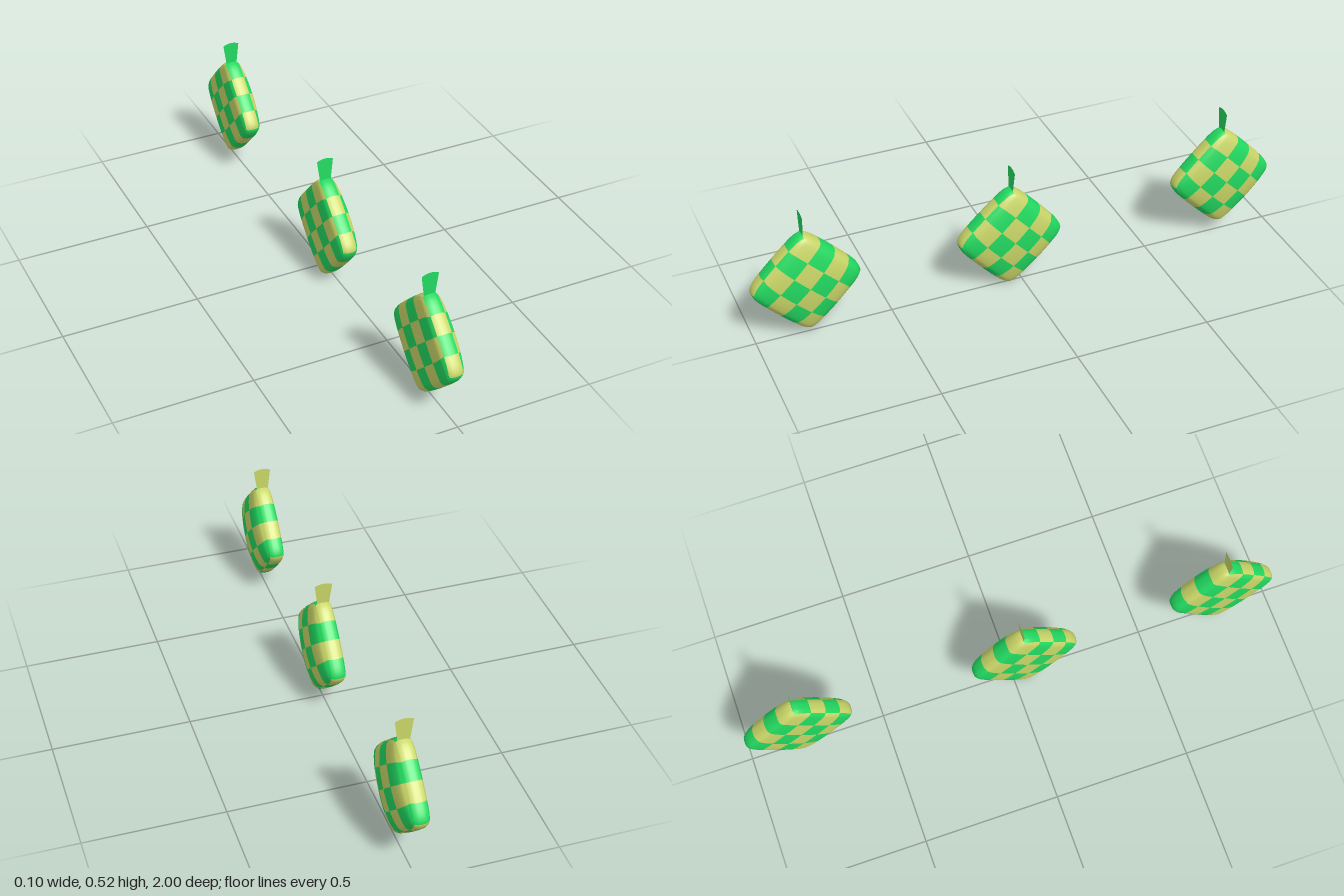
import * as THREE from 'three';

const green = new THREE.MeshStandardMaterial({ color: 0x22d960 });
green.name = 'leafGreen';
const straw = new THREE.MeshStandardMaterial({ color: 0xc9d668 });
straw.name = 'paleStraw';

const HALF = 0.148;            // half side of the woven square
const RIM_L = 0.015, RIM_R = -0.037; // x of the two rim edges

// Smooth grid of cells; point(a, b) takes cell units, isGreen(i, j) picks each cell's colour
function checkerGrid(cellsA, cellsB, seg, segB, point, isGreen) {
  const na = cellsA * seg, nb = cellsB * segB;
  const pos = [], lists = [[], []];
  for (let i = 0; i <= na; i++)
    for (let j = 0; j <= nb; j++) pos.push(...point(i / seg, j / segB));
  for (let i = 0; i < na; i++)
    for (let j = 0; j < nb; j++) {
      const a = i * (nb + 1) + j, d = a + 1, b = a + nb + 1, c = b + 1;
      const list = lists[isGreen(Math.floor(i / seg), Math.floor(j / segB)) ? 0 : 1];
      list.push(a, b, c, a, c, d);
    }
  const g = new THREE.BufferGeometry();
  g.setAttribute('position', new THREE.Float32BufferAttribute(pos, 3));
  g.setIndex([...lists[0], ...lists[1]]);
  g.addGroup(0, lists[0].length, 0);
  g.addGroup(lists[0].length, lists[1].length, 1);
  g.computeVertexNormals();
  return g;
}

// Square coordinates to a rounded diamond standing on its corner
const pull = (t) => 1 - 0.03 * t * t - 0.07 * t ** 8;
function diamond(u, v, scale = 1) {
  const p = HALF * scale * u * pull(v), q = HALF * scale * v * pull(u);
  return [(p + q) * Math.SQRT1_2, (p - q) * Math.SQRT1_2];
}

// Padded woven face, strongly domed on the left and flatter on the right
function faceGeometry(side) {
  return checkerGrid(4, 4, 8, 8, (a, b) => {
    const [u, v] = side > 0 ? [b / 2 - 1, a / 2 - 1] : [a / 2 - 1, b / 2 - 1];
    const dome = Math.max(0, (1 - u * u) * (1 - v * v));
    const x = side > 0 ? RIM_L + 0.037 * Math.sqrt(dome) : RIM_R - 0.015 * dome ** 0.35;
    return [x, ...diamond(u, v)];
  }, (i, j) => (i + j) % 2 === 1);
}

// Band of sixteen alternating cells around the edge
function rimGeometry() {
  const corners = [[1, 1], [1, -1], [-1, -1], [-1, 1]];
  return checkerGrid(16, 1, 6, 6, (a, s) => {
    const k = Math.floor(a / 4) % 4, f = (a % 4) / 4;
    const [p, q] = [corners[k], corners[(k + 1) % 4]];
    const u = p[0] + (q[0] - p[0]) * f, v = p[1] + (q[1] - p[1]) * f;
    const swell = 1 + 0.042 * Math.sqrt(Math.max(0, 4 * s * (1 - s)));
    return [RIM_R + (RIM_L - RIM_R) * s, ...diamond(u, v, swell)];
  }, (i) => i % 2 === 0);
}

// Flared leaf tail with an arched tip
function tailGeometry(extra) {
  const s = new THREE.Shape();
  const w0 = 0.021 + extra, w1 = 0.031 + extra;
  s.moveTo(-w0, 0.185);
  s.lineTo(w0, 0.185);
  s.lineTo(w0, 0.195);
  s.lineTo(w1, 0.272);
  s.quadraticCurveTo(0, 0.288, -w1, 0.272);
  s.lineTo(-w0, 0.195);
  return new THREE.ShapeGeometry(s, 8);
}

export function createModel() {
  const model = new THREE.Group();
  model.name = 'wovenPouches';
  const geos = {
    leftFace: faceGeometry(1),
    rightFace: faceGeometry(-1),
    rim: rimGeometry(),
  };
  const tailFront = tailGeometry(0), tailBack = tailGeometry(0.0012);

  // y, z and lean of each hanging pouch
  const places = [[0.217, 0.803, 0], [0.2, 0.043, -0.045], [0.243, -0.803, 0]];
  places.forEach(([y, z, lean], n) => {
    const pouch = new THREE.Group();
    pouch.name = 'pouch' + (n + 1);
    for (const [name, geo] of Object.entries(geos)) {
      const mesh = new THREE.Mesh(geo, [green, straw]);
      mesh.name = name;
      pouch.add(mesh);
    }
    const front = new THREE.Mesh(tailFront, green);
    front.name = 'tailFront';
    front.position.set(-0.0125, 0, 0.001);
    const back = new THREE.Mesh(tailBack, straw);
    back.name = 'tailBack';
    back.position.set(-0.0125, 0, -0.001);
    back.rotation.y = Math.PI;
    pouch.add(front, back);
    pouch.position.set(0, y, z);
    pouch.rotation.x = lean;
    model.add(pouch);
  });
  return model;
}
